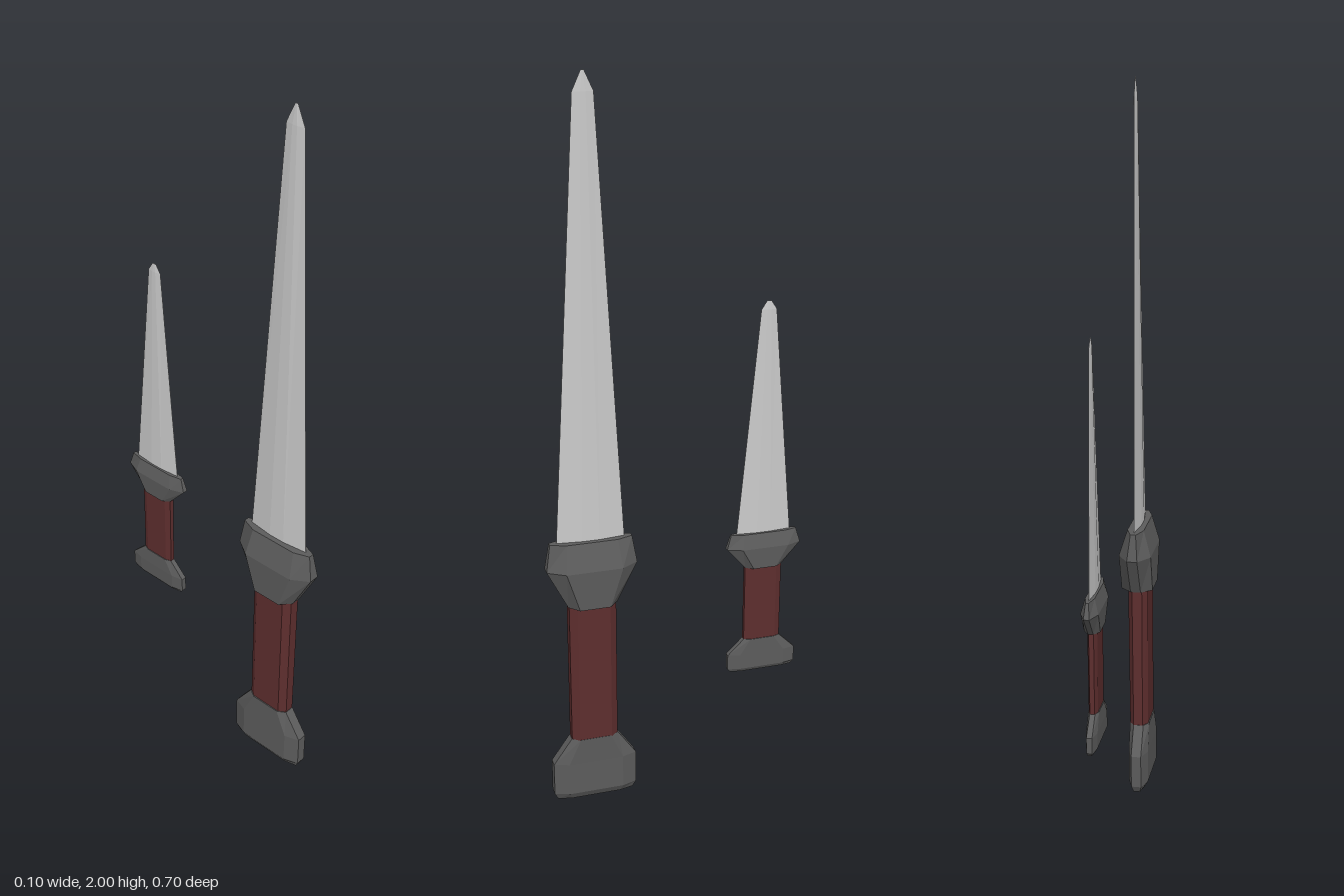
import * as THREE from 'three';

const steel = new THREE.MeshStandardMaterial({ color: 0xcccccc, flatShading: true });
const iron = new THREE.MeshStandardMaterial({ color: 0x5c5c5c, flatShading: true });
const leather = new THREE.MeshStandardMaterial({ color: 0x5e2e2e, flatShading: true });

// Eight-sided loft. Each ring is [y, x centre, half thickness, half width];
// fx and fz are the flat portions of the narrow ends and the broad faces.
function loft(name, material, z, rings, fx, fz) {
  const outline = [[1, fz], [1, -fz], [fx, -1], [-fx, -1], [-1, -fz], [-1, fz], [-fx, 1], [fx, 1]];
  const n = outline.length;
  const positions = [];
  const index = [];
  for (const [y, cx, hx, hz] of rings) {
    for (const [px, pz] of outline) positions.push(cx + px * hx, y, z + pz * hz);
  }
  for (let r = 0; r < rings.length - 1; r++) {
    for (let i = 0; i < n; i++) {
      const a = r * n + i;
      const b = r * n + (i + 1) % n;
      index.push(a, b, b + n, a, b + n, a + n);
    }
  }
  // End caps
  const top = (rings.length - 1) * n;
  for (let i = 1; i < n - 1; i++) {
    index.push(0, i + 1, i, top, top + i, top + i + 1);
  }
  const indexed = new THREE.BufferGeometry();
  indexed.setAttribute('position', new THREE.Float32BufferAttribute(positions, 3));
  indexed.setIndex(index);
  const geometry = indexed.toNonIndexed();
  geometry.computeVertexNormals();
  const mesh = new THREE.Mesh(geometry, material);
  mesh.name = name;
  return mesh;
}

function dagger(name, z, { pommel, grip, guard, blade }) {
  const group = new THREE.Group();
  group.name = name;
  group.add(
    loft('pommel', iron, z, pommel, 0.5, 0.65),
    loft('grip', leather, z, grip, 0.5, 0.7),
    loft('guard', iron, z, guard, 0.32, 0.62),
    loft('blade', steel, z, blade, 0.06, 0.25),
  );
  return group;
}

export function createModel() {
  const model = new THREE.Group();
  model.name = 'daggerPair';

  model.add(dagger('longDagger', 0.228, {
    pommel: [
      [0, -0.018, 0.018, 0.108],
      [0.02, -0.018, 0.028, 0.118],
      [0.115, -0.017, 0.028, 0.118],
      [0.19, -0.015, 0.028, 0.066],
    ],
    grip: [[0.18, -0.014, 0.026, 0.065], [0.61, -0.009, 0.028, 0.065]],
    guard: [
      [0.6, -0.006, 0.044, 0.068],
      [0.71, -0.005, 0.045, 0.124],
      [0.785, -0.006, 0.023, 0.112],
    ],
    blade: [
      [0.76, -0.006, 0.009, 0.094],
      [1.95, 0.009, 0.004, 0.027],
      [2, 0.01, 0.001, 0.004],
    ],
  }));

  model.add(dagger('shortDagger', -0.247, {
    pommel: [
      [0.342, 0.023, 0.01, 0.09],
      [0.352, 0.023, 0.015, 0.098],
      [0.395, 0.023, 0.015, 0.098],
      [0.44, 0.024, 0.014, 0.052],
    ],
    grip: [[0.43, 0.024, 0.012, 0.052], [0.67, 0.026, 0.013, 0.052]],
    guard: [
      [0.66, 0.027, 0.021, 0.052],
      [0.72, 0.027, 0.023, 0.105],
      [0.76, 0.027, 0.012, 0.093],
    ],
    blade: [
      [0.74, 0.026, 0.006, 0.078],
      [1.385, 0.034, 0.003, 0.021],
      [1.408, 0.034, 0.001, 0.006],
    ],
  }));

  return model;
}
